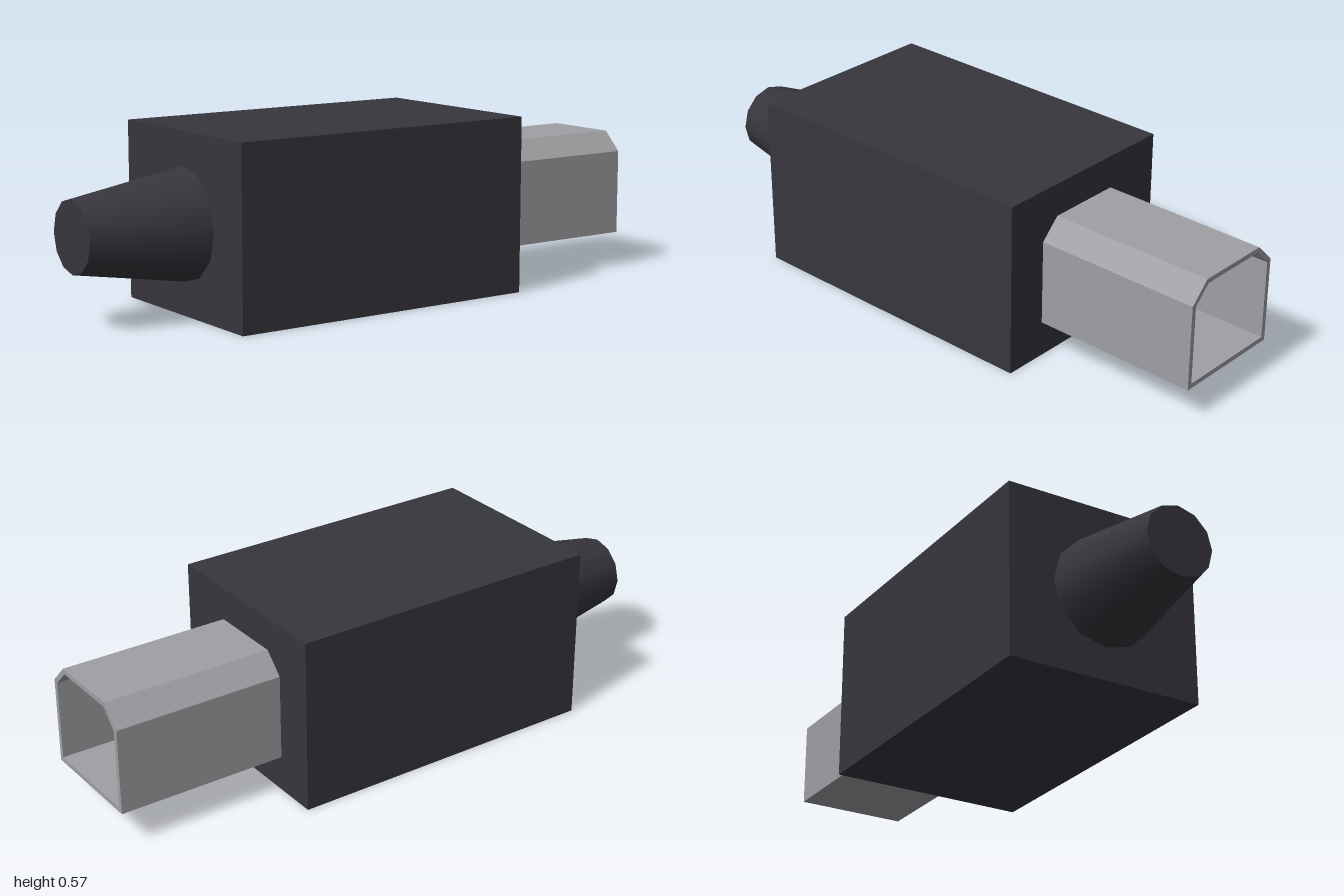
import * as THREE from 'three';

const plastic = new THREE.MeshStandardMaterial({ name: 'charcoal plastic', color: 0x37363d });
const metal = new THREE.MeshStandardMaterial({ name: 'grey metal', color: 0xa0a0a4 });
const gold = new THREE.MeshStandardMaterial({ name: 'gold contact', color: 0xb08d2e });

const BODY_BACK = -0.44, BODY_FRONT = 0.62, HEIGHT = 0.573, MID = HEIGHT / 2;

// Rectangle with its two upper corners cut, shrunk inwards by t
function shellOutline(t, PathType) {
  const x = 0.19 - t, y0 = 0.118 + t, y1 = 0.464 - t, cut = 0.064 - t * 0.59;
  const pts = [[-x, y0], [x, y0], [x, y1 - cut], [x - cut, y1], [-x + cut, y1], [-x, y1 - cut]];
  return new PathType(pts.map(p => new THREE.Vector2(...p)));
}

export function createModel() {
  const model = new THREE.Group();
  model.name = 'cablePlug';

  function add(name, geometry, material, x, y, z) {
    const mesh = new THREE.Mesh(geometry, material);
    mesh.name = name;
    mesh.position.set(x, y, z);
    model.add(mesh);
    return mesh;
  }

  // Grip body
  const depth = BODY_FRONT - BODY_BACK;
  add('gripBody', new THREE.BoxGeometry(0.666, HEIGHT, depth), plastic,
    0, MID, (BODY_FRONT + BODY_BACK) / 2);

  // Tapered strain relief, twelve sided, smooth around its side
  const relief = new THREE.CylinderGeometry(0.114, 0.179, 1 - BODY_FRONT, 12);
  relief.rotateX(Math.PI / 2);
  add('strainRelief', relief, plastic, 0, MID, (1 + BODY_FRONT) / 2);

  // Hollow metal shell, open at the back
  const outline = shellOutline(0, THREE.Shape);
  outline.holes.push(shellOutline(0.016, THREE.Path));
  const shell = new THREE.ExtrudeGeometry(outline, { depth: 1 + BODY_BACK, bevelEnabled: false });
  add('metalShell', shell, metal, 0, 0, -1);

  // Contact tongue just beneath the shell's roof
  const tongueEnd = -0.96, tongueBottom = 0.412;
  add('contactTongue', new THREE.BoxGeometry(0.25, 0.028, BODY_BACK - tongueEnd), plastic,
    0, tongueBottom + 0.014, (BODY_BACK + tongueEnd) / 2);

  // Four contacts on the underside of the tongue
  for (let i = 0; i < 4; i++) {
    add('contact' + (i + 1), new THREE.BoxGeometry(0.03, 0.006, 0.48), gold,
      (i - 1.5) * 0.057, tongueBottom - 0.002, -0.68);
  }

  return model;
}
